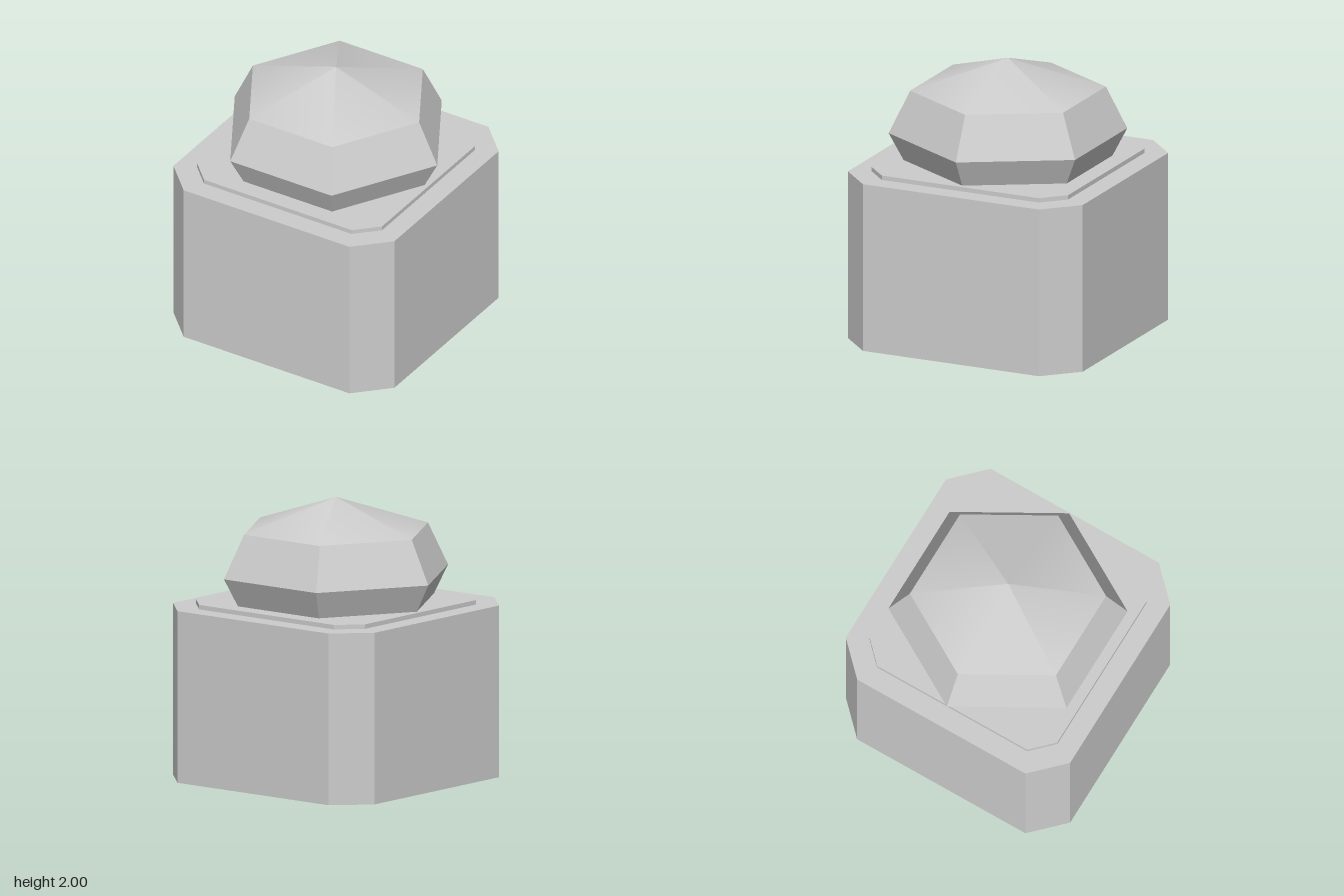
import * as THREE from 'three';

// Square outline with cut corners: half = half width, flat = half length of the straight sides
function cutSquare(half, flat) {
  return [
    [half, -flat], [half, flat], [flat, half], [-flat, half],
    [-half, flat], [-half, -flat], [-flat, -half], [flat, -half],
  ].map(([x, y]) => new THREE.Vector2(x, y));
}

export function createModel() {
  const group = new THREE.Group();
  const stone = new THREE.MeshStandardMaterial({ color: 0xcccccc, side: THREE.DoubleSide });
  stone.name = 'light grey';

  const add = (name, geometry, y, parent = group) => {
    const mesh = new THREE.Mesh(geometry, stone);
    mesh.name = name;
    mesh.position.y = y;
    parent.add(mesh);
    return mesh;
  };

  // Each slab: side walls plus a flat lid, open underneath
  const addSlab = (name, half, flat, y0, y1) => {
    const slab = new THREE.Group();
    slab.name = name;
    const outline = cutSquare(half, flat);
    outline.forEach((a, i) => {
      const b = outline[(i + 1) % outline.length];
      const wall = add(name + 'Wall', new THREE.PlaneGeometry(a.distanceTo(b), y1 - y0), (y0 + y1) / 2, slab);
      const mx = (a.x + b.x) / 2, mz = (a.y + b.y) / 2;
      wall.position.x = mx;
      wall.position.z = mz;
      wall.rotation.y = Math.atan2(mx, mz);
    });
    add(name + 'Top', new THREE.ShapeGeometry(new THREE.Shape(outline)).rotateX(-Math.PI / 2), y1, slab);
    group.add(slab);
  };
  addSlab('base', 0.92, 0.69, 0, 1.23);
  addSlab('plate', 0.77, 0.615, 1.23, 1.262);

  // Six-sided faceted band, corners on the x axis
  const addBand = (name, rTop, rBottom, y0, y1) => {
    const g = new THREE.CylinderGeometry(rTop, rBottom, y1 - y0, 6, 1, true, Math.PI / 6).toNonIndexed();
    g.computeVertexNormals();
    add(name, g, (y0 + y1) / 2);
  };
  addBand('knobLowerBand', 0.843, 0.738, 1.262, 1.462);
  addBand('knobUpperBand', 0.692, 0.843, 1.462, 1.772);

  // Shallow smooth-shaded cap
  add('knobCap', new THREE.ConeGeometry(0.692, 0.228, 6, 1, true, Math.PI / 6), 1.886);

  return group;
}
